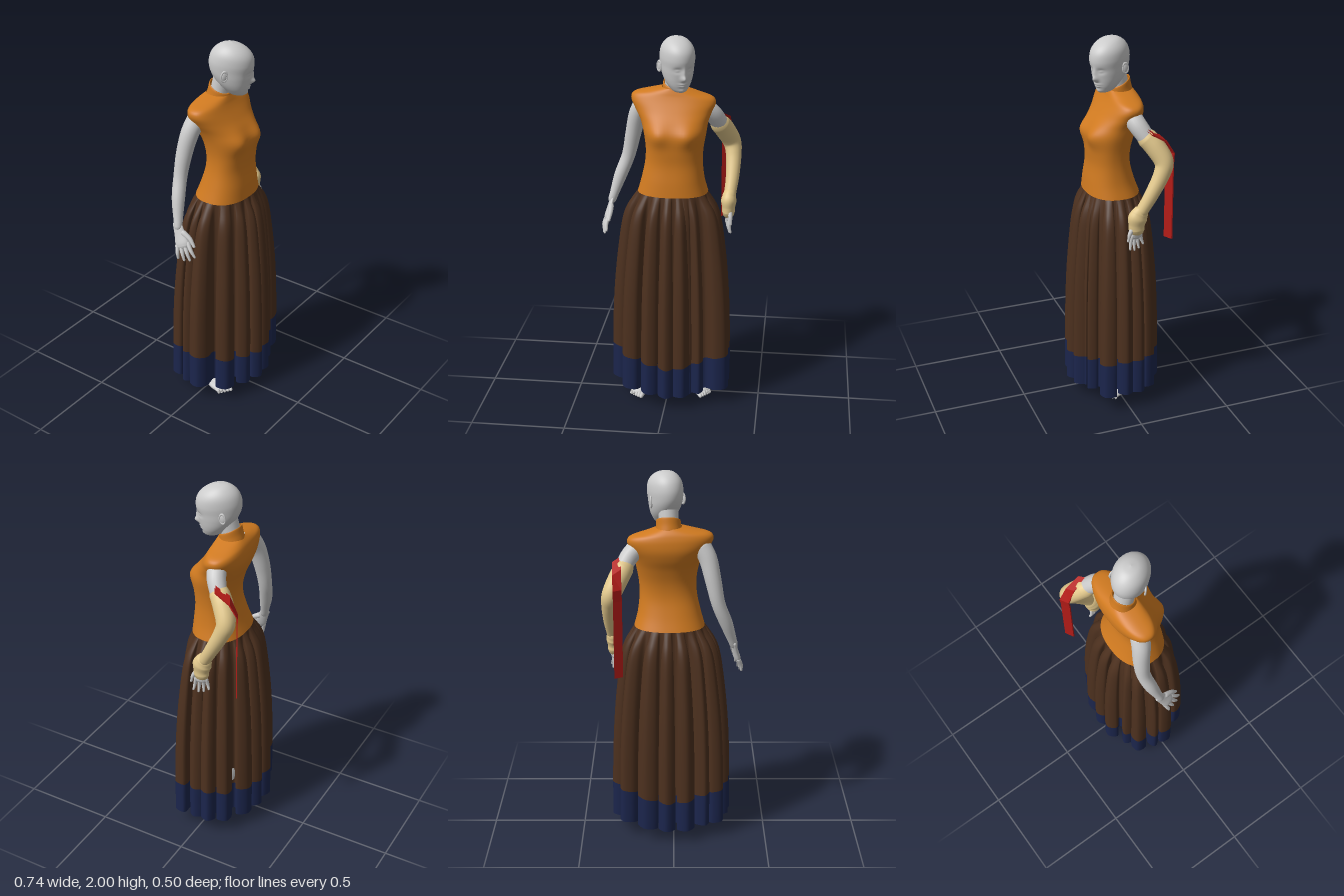
import * as THREE from 'three';

const GREY = 0xcccccc, ORANGE = 0xd07a20, BROWN = 0x4c301e, NAVY = 0x1b254c, BEIGE = 0xe2c88c, RED = 0xb41c18;
const V = (x, y, z) => new THREE.Vector3(x, y, z);
const bell = (x, y, x0, y0, sx, sy) => Math.exp(-(((x - x0) / sx) ** 2) - ((y - y0) / sy) ** 2);

function mesh(name, geometry, color) {
  const m = new THREE.Mesh(geometry, new THREE.MeshStandardMaterial({ color, side: THREE.DoubleSide }));
  m.name = name;
  return m;
}

// Skin over closed loops of points, listed from bottom to top
function skin(name, rows, color) {
  const n = rows[0].length, pos = [], idx = [];
  rows.forEach(r => r.forEach(p => pos.push(p.x, p.y, p.z)));
  for (let i = 0; i < rows.length - 1; i++) {
    for (let j = 0; j < n; j++) {
      const a = i * n + j, b = i * n + (j + 1) % n;
      idx.push(a, a + n, b, b, a + n, b + n);
    }
  }
  const g = new THREE.BufferGeometry();
  g.setAttribute('position', new THREE.Float32BufferAttribute(pos, 3));
  g.setIndex(idx);
  g.computeVertexNormals();
  return mesh(name, g, color);
}

// Smooth interpolation down every column of a small table
function sample(table, t) {
  const last = table.length - 1, f = t * last, i = Math.min(Math.floor(f), last - 1), u = f - i;
  const row = k => table[Math.max(0, Math.min(last, k))];
  return table[0].map((_, c) => {
    const [a, b, d, e] = [row(i - 1)[c], row(i)[c], row(i + 1)[c], row(i + 2)[c]];
    return b + 0.5 * u * (d - a + u * (2 * a - 5 * b + 4 * d - e + u * (3 * (b - d) + e - a)));
  });
}

// Body form from rows of [y, centre x, half width, front z, back z], with an optional vertex rule
function form(name, table, color, { seg = 64, steps = 50, power = 1, rule = p => p } = {}) {
  const sp = v => Math.sign(v) * Math.abs(v) ** power;
  const rows = [];
  for (let i = 0; i <= steps; i++) {
    const [y, cx, hw, zf, zb] = sample(table, i / steps);
    rows.push(Array.from({ length: seg }, (_, j) => {
      const a = j / seg * Math.PI * 2;
      return rule(V(cx + hw * sp(Math.cos(a)), y, (zf + zb) / 2 + (zf - zb) / 2 * sp(Math.sin(a))), Math.sin(a));
    }));
  }
  return skin(name, rows, color);
}

// Round-ended limb along points [x, y, z, radius]; flat squashes it along ref
function limb(name, pts, color, { seg = 20, steps = 30, flat = 1, ref = V(0, 0, 1) } = {}) {
  const curve = new THREE.CatmullRomCurve3(pts.map(p => V(p[0], p[1], p[2])), false, 'catmullrom');
  const rows = [];
  const ring = (t, k) => {
    const T = curve.getTangent(t), U = ref.clone().addScaledVector(T, -ref.dot(T)).normalize();
    const W = U.clone().cross(T), r = sample(pts.map(p => [p[3]]), t)[0];
    const c = curve.getPoint(t).addScaledVector(T, r * flat * Math.sin(k));
    rows.push(Array.from({ length: seg }, (_, j) => {
      const a = j / seg * Math.PI * 2;
      return c.clone().addScaledVector(U, r * flat * Math.cos(k) * Math.cos(a)).addScaledVector(W, r * Math.cos(k) * Math.sin(a));
    }));
  };
  [-1.57, -1.1, -0.6].forEach(k => ring(0, k));
  for (let i = 0; i <= steps; i++) ring(i / steps, 0);
  [0.6, 1.1, 1.57].forEach(k => ring(1, k));
  return skin(name, rows, color);
}

function makeHead() {
  const head = new THREE.Group();
  head.name = 'head';
  const face = (p, front) => {
    if (front <= 0) return p;
    const x = Math.abs(p.x), y = p.y;
    p.z += 0.021 * bell(x, y, 0, -0.058, 0.014, 0.016) + 0.01 * bell(x, y, 0, -0.03, 0.012, 0.025)
      - 0.009 * bell(x, y, 0.032, -0.016, 0.018, 0.013) + 0.006 * bell(x, y, 0.032, -0.017, 0.012, 0.007)
      + 0.007 * bell(x, y, 0, -0.088, 0.02, 0.005) + 0.007 * bell(x, y, 0, -0.1, 0.017, 0.005)
      + 0.005 * bell(x, y, 0, -0.126, 0.018, 0.01);
    return p;
  };
  head.add(form('skull and face', [
    [-0.143, 0, 0, 0.06, 0.06], [-0.136, 0, 0.034, 0.086, 0.0], [-0.11, 0, 0.056, 0.097, -0.035],
    [-0.08, 0, 0.071, 0.102, -0.068], [-0.045, 0, 0.08, 0.106, -0.095], [-0.01, 0, 0.084, 0.11, -0.111],
    [0.03, 0, 0.087, 0.114, -0.116], [0.07, 0, 0.082, 0.104, -0.107], [0.1, 0, 0.066, 0.078, -0.086],
    [0.121, 0, 0.04, 0.037, -0.054], [0.13, 0, 0, -0.01, -0.01]], GREY, { seg: 104, steps: 84, rule: face }));
  for (const s of [-1, 1]) {
    const ear = new THREE.Group();
    ear.name = 'ear';
    ear.add(mesh('ear rim', new THREE.TorusGeometry(0.018, 0.005, 8, 24), GREY),
      mesh('ear bowl', new THREE.SphereGeometry(0.017, 16, 12).scale(1, 1, 0.35), GREY));
    ear.scale.set(0.85, 1.4, 1);
    ear.position.set(s * 0.089, -0.022, -0.018);
    ear.rotation.y = s * 1.2;
    head.add(ear);
  }
  head.position.set(0.043, 1.87, 0.01);
  head.rotation.set(0.1, 0.45, 0, 'YXZ');
  return head;
}

// Hand hanging down -y, thumb towards local +x
function makeHand(name, position, rotation, size) {
  const hand = new THREE.Group(), opt = { seg: 10, steps: 8 };
  hand.name = name;
  hand.add(limb('palm', [[0, 0.03, 0, 0.022], [0, -0.02, 0, 0.027], [0, -0.06, 0, 0.034], [0, -0.078, 0, 0.032]], GREY, { flat: 0.45 }));
  for (let i = 0; i < 4; i++) {
    const x = -0.027 + 0.018 * i, len = [0.05, 0.066, 0.072, 0.063][i];
    hand.add(limb('finger', [[x, -0.07, 0, 0.01], [x * 1.25, -0.078 - len / 2, 0.004, 0.009], [x * 1.5, -0.078 - len, -0.002, 0.006]], GREY, opt));
  }
  hand.add(limb('thumb', [[0.018, -0.02, 0, 0.014], [0.042, -0.055, 0, 0.011], [0.052, -0.092, 0, 0.007]], GREY, opt));
  hand.position.set(...position);
  hand.rotation.set(...rotation, 'ZXY');
  hand.scale.setScalar(size);
  return hand;
}

// Foot pointing to +z from the heel, with its leg rising towards the hip
function makeLeg(name, x, z, yaw, hipX) {
  const leg = new THREE.Group(), foot = new THREE.Group();
  leg.name = name;
  foot.name = 'foot';
  foot.add(limb('sole', [[0, 0.026, 0.03, 0.03], [0, 0.024, 0.09, 0.033], [0, 0.022, 0.15, 0.042], [0, 0.018, 0.185, 0.037]], GREY,
    { flat: 0.55, ref: V(0, 1, 0) }));
  foot.add(limb('instep', [[0, 0.025, 0.15, 0.02], [0, 0.042, 0.1, 0.027], [0, 0.07, 0.055, 0.032], [0, 0.12, 0.036, 0.031]], GREY, { ref: V(1, 0, 0) }));
  for (let i = 0; i < 5; i++) {
    const tx = Math.sign(x) * (-0.03 + i * 0.0155), r = 0.013 - 0.0012 * i, end = 0.225 - 0.007 * i;
    foot.add(limb('toe', [[tx, 0.018, 0.17, r], [tx * 1.05, 0.018, 0.2, r], [tx * 1.05, r, end, r * 0.8]], GREY,
      { seg: 10, steps: 6, ref: V(0, 1, 0) }));
  }
  foot.position.set(x, 0, z);
  foot.rotation.y = yaw;
  const ax = x + Math.sin(yaw) * 0.04, az = z + Math.cos(yaw) * 0.04;
  leg.add(foot, limb('shin and thigh', [[ax, 0.09, az, 0.032], [ax, 0.16, az, 0.032], [ax, 0.34, az - 0.01, 0.053],
    [(ax + hipX) / 2, 0.52, 0, 0.052], [hipX, 0.92, 0, 0.075]], GREY));
  return leg;
}

// Pleated skirt: a wide, lobed hem gathered into an oval waist
function makeSkirt() {
  const skirt = new THREE.Group(), cx = 0.02;
  skirt.name = 'skirt';
  // Lobes as [x, z, half width, depth of the valley that follows]
  const lobes = [[0.338, 0.015, 0.042, 0.08], [0.325, 0.135, 0.05, 0.065], [0.185, 0.19, 0.035, 0.025], [0.1, 0.235, 0.046, 0.085],
    [0.003, 0.248, 0.042, 0.085], [-0.1, 0.225, 0.046, 0.085], [-0.225, 0.172, 0.052, 0.1], [-0.31, 0.03, 0.05, 0.08],
    [-0.3, -0.065, 0.032, 0.08], [-0.262, -0.165, 0.044, 0.08], [-0.175, -0.2, 0.036, 0.08], [-0.075, -0.25, 0.048, 0.1],
    [0.04, -0.25, 0.046, 0.095], [0.155, -0.23, 0.056, 0.085], [0.28, -0.16, 0.045, 0.07], [0.335, -0.07, 0.04, 0.07]];
  const tips = lobes.map(([x, z]) => V(x - cx, 0, z));
  const n = tips.length, per = 25, loop = [];
  tips.forEach((p, i) => {
    const q = tips[(i + 1) % n], tan = q.clone().sub(tips[(i + n - 1) % n]).normalize(), inward = V(-tan.z, 0, tan.x);
    if (inward.dot(p) > 0) inward.negate();
    const side = s => p.clone().addScaledVector(inward, 0.034).addScaledVector(tan, s * lobes[i][2]);
    const valley = p.clone().add(q).multiplyScalar(0.5), along = q.clone().sub(p).normalize();
    valley.multiplyScalar(1 - lobes[i][3] / valley.length());
    loop.push(side(-1), p, side(1), valley.clone().addScaledVector(along, -0.014), valley.addScaledVector(along, 0.014));
  });
  const hem = new THREE.CatmullRomCurve3(loop, true);
  const angle = i => Math.atan2(tips[i % n].z / 0.25, tips[i % n].x / 0.32) + (i >= n ? Math.PI * 2 : 0);
  const angles = tips.map((_, i) => angle(i)).map(a => (a < 0 ? a + Math.PI * 2 : a)).concat(angle(n));
  // One loop of cloth: s spreads it from waist to hem, lift raises its sides
  const ring = (y, s, lift) => Array.from({ length: n * per }, (_, j) => {
    const f = j / per, i = Math.floor(f);
    const a = angles[i] + (angles[i + 1] - angles[i]) * (f - i);
    const h = hem.getPoint(((j + per / 5) / (n * per)) % 1);
    const p = V(0.177 * Math.cos(a), 0, 0.13 * Math.sin(a)).lerp(h, s);
    return V(p.x + cx, y + lift * Math.abs(p.x), p.z);
  });
  const cloth = [[0.23, 0.985, 0.17], [0.4, 0.96, 0.1], [0.55, 0.92, 0.05], [0.7, 0.855, 0], [0.85, 0.75, 0],
    [1.0, 0.61, 0], [1.08, 0.46, 0], [1.14, 0.23, 0], [1.19, 0, 0]];
  skirt.add(skin('skirt cloth', Array.from({ length: 33 }, (_, k) => ring(...sample(cloth, k / 32))), BROWN));
  skirt.add(skin('skirt border', [0, 1, 2, 3].map(k => ring(0.065 + 0.055 * k, 1 - 0.005 * k, 0.07 + 0.0333 * k)), NAVY));
  return skirt;
}

function makeRibbon() {
  const path = [V(0.29, 1.567, -0.104), V(0.288, 1.52, -0.182), V(0.285, 1.44, -0.226), V(0.284, 1.38, -0.223), V(0.284, 1.17, -0.223), V(0.284, 0.965, -0.223)];
  const rows = path.map((p, i) => {
    const d = i < 2 ? V(0, 0.003, -0.003) : V(0, 0, -0.003), w = V(0.022, i < 2 ? -0.012 : 0, -0.012);
    return [w.clone().negate().sub(d), w.clone().negate().add(d), w.clone().add(d), w.clone().sub(d)].map(o => o.add(p));
  });
  const ribbon = skin('hanging ribbon', rows, RED);
  ribbon.geometry = ribbon.geometry.toNonIndexed();
  ribbon.geometry.computeVertexNormals();
  return ribbon;
}

export function createModel() {
  const model = new THREE.Group();
  model.name = 'woman in long skirt';
  model.add(makeHead());
  model.add(limb('neck', [[0.02, 1.64, -0.06, 0.055], [0.024, 1.72, -0.048, 0.05], [0.03, 1.82, -0.025, 0.052]], GREY));

  // Sleeveless top with bust shaping and a slight shoulder tilt
  const bodice = (p, front) => {
    if (front > 0) p.z += 0.026 * front * (bell(p.x, p.y, -0.055, 1.505, 0.06, 0.055) + bell(p.x, p.y, 0.12, 1.505, 0.06, 0.055));
    if (p.y > 1.55) p.y -= 0.35 * (p.y - 1.55) * p.x;
    return p;
  };
  model.add(form('sleeveless top', [
    [1.18, 0.022, 0.185, 0.142, -0.138], [1.25, 0.023, 0.166, 0.136, -0.112], [1.34, 0.028, 0.151, 0.126, -0.088],
    [1.42, 0.032, 0.15, 0.13, -0.088], [1.5, 0.033, 0.162, 0.13, -0.108], [1.56, 0.028, 0.176, 0.104, -0.132],
    [1.61, 0.022, 0.2, 0.072, -0.145], [1.655, 0.018, 0.22, 0.044, -0.144], [1.685, 0.017, 0.205, 0.028, -0.137],
    [1.705, 0.018, 0.14, 0.02, -0.128], [1.725, 0.022, 0.064, 0.012, -0.112]], ORANGE, { power: 0.86, rule: bodice }));
  const slant = p => { p.y -= (p.z + 0.05) * 0.5; return p; };
  model.add(form('collar', [[1.685, 0.024, 0.072, 0.018, -0.116], [1.72, 0.025, 0.065, 0.014, -0.107], [1.757, 0.027, 0.062, 0.012, -0.1],
    [1.76, 0.027, 0.056, 0.006, -0.095]], ORANGE, { steps: 12, rule: slant }));

  // Bare right arm
  model.add(limb('rightArm', [[-0.14, 1.63, -0.07, 0.05], [-0.176, 1.56, -0.088, 0.047], [-0.203, 1.45, -0.106, 0.042], [-0.23, 1.33, -0.112, 0.036],
    [-0.272, 1.22, -0.096, 0.034], [-0.315, 1.09, -0.067, 0.022]], GREY));
  model.add(makeHand('rightHand', [-0.32, 1.075, -0.06], [-0.45, -1.3, -0.2], 1.12));

  // Left arm with its separate sleeve
  model.add(limb('leftShoulder', [[0.17, 1.625, -0.05, 0.05], [0.225, 1.575, -0.075, 0.048], [0.275, 1.49, -0.125, 0.042]], GREY));
  model.add(limb('sleeve', [[0.255, 1.52, -0.11, 0.052], [0.282, 1.475, -0.145, 0.053], [0.316, 1.405, -0.178, 0.049], [0.328, 1.34, -0.16, 0.042],
    [0.328, 1.24, -0.108, 0.036], [0.319, 1.15, -0.058, 0.032]], BEIGE, { steps: 40 }));
  model.add(limb('cuff', [[0.316, 1.145, -0.052, 0.044], [0.314, 1.115, -0.04, 0.051], [0.314, 1.08, -0.035, 0.043], [0.314, 1.055, -0.035, 0.042]], BEIGE,
    { ref: V(1, 0, 0), flat: 0.8 }));
  model.add(makeHand('leftHand', [0.316, 1.095, -0.034], [0, -1.3, 0], 1));
  model.add(makeRibbon());

  model.add(makeSkirt());
  model.add(makeLeg('rightLeg', -0.125, -0.085, -0.2, -0.07), makeLeg('leftLeg', 0.11, -0.115, 0.48, 0.11));
  return model;
}
